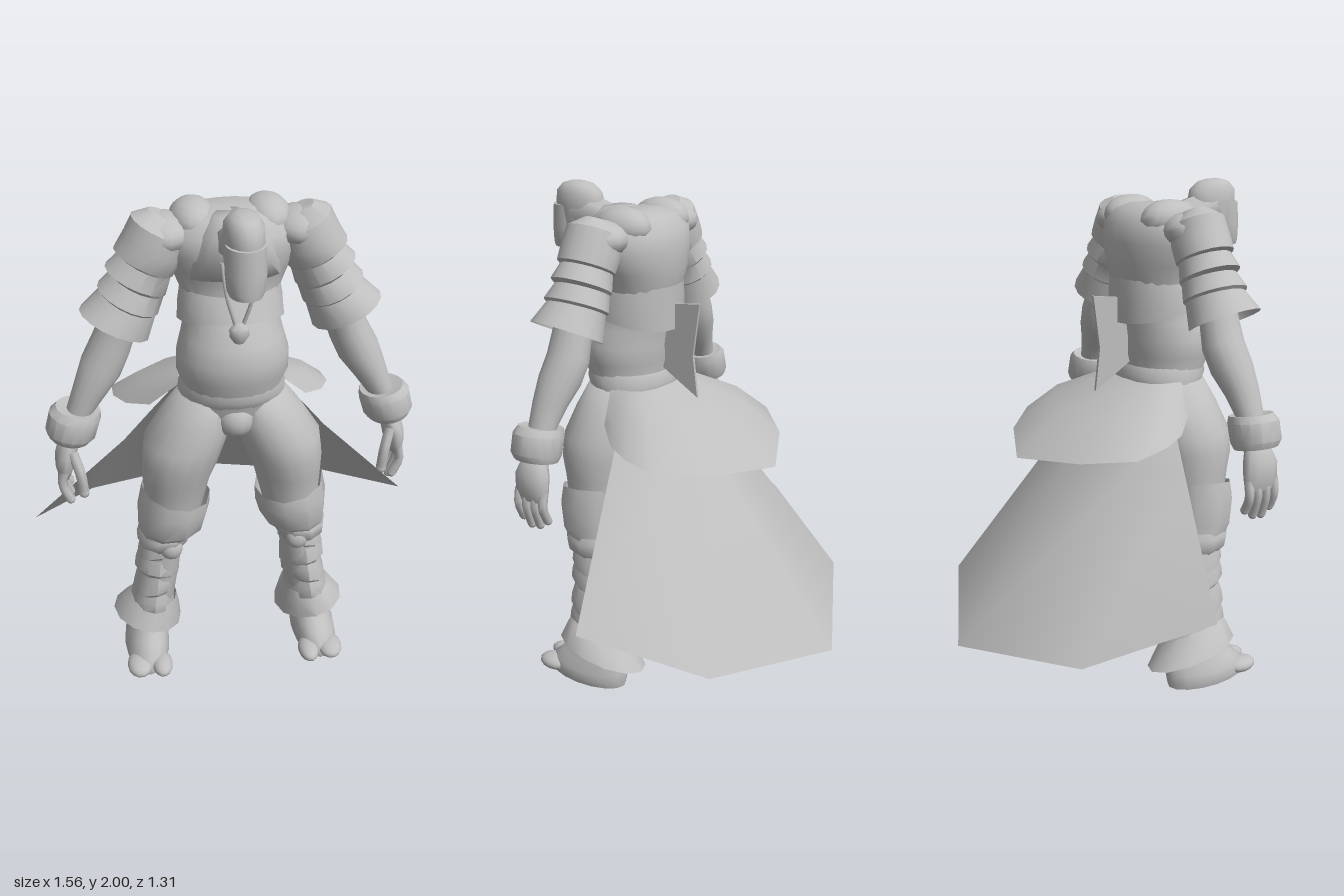
import * as THREE from 'three';
import { toCreasedNormals } from 'three/addons/utils/BufferGeometryUtils.js';

const grey = new THREE.MeshStandardMaterial({ color: 0xbfbfbf, side: THREE.DoubleSide });
grey.name = 'plain grey';

function add(parent, name, geometry) {
  const mesh = new THREE.Mesh(geometry, grey);
  mesh.name = name;
  parent.add(mesh);
  return mesh;
}

function build(points, index, crease) {
  const g = new THREE.BufferGeometry();
  g.setAttribute('position', new THREE.Float32BufferAttribute(points, 3));
  g.setIndex(index);
  return toCreasedNormals(g, crease);
}

// Stack of elliptical rings, listed top to bottom.
// Ring: [centre x, y, back z, front z, half width, sideways tilt, forward slope]
function loft(rings, { n = 16, top = true, bottom = true, crease = 0.9 } = {}) {
  const p = [], idx = [];
  for (const [x, y, zb, zf, rx, tilt = 0, slope = 0] of rings) {
    const zc = (zb + zf) / 2, rz = (zf - zb) / 2;
    for (let i = 0; i < n; i++) {
      const a = (i / n) * Math.PI * 2, u = Math.cos(a) * rx, w = Math.sin(a) * rz;
      p.push(x + u * Math.cos(tilt), y + u * Math.sin(tilt) + w * slope, zc + w);
    }
  }
  for (let j = 0; j < rings.length - 1; j++) {
    for (let i = 0; i < n; i++) {
      const k = (i + 1) % n, a = j * n + i, b = j * n + k;
      idx.push(a, b, a + n, b, b + n, a + n);
    }
  }
  const cap = (j, up) => {
    const [x, y, zb, zf] = rings[j], c = p.length / 3;
    p.push(x, y, (zb + zf) / 2);
    for (let i = 0; i < n; i++) {
      const a = j * n + i, b = j * n + ((i + 1) % n);
      if (up) idx.push(c, b, a); else idx.push(c, a, b);
    }
  };
  if (top) cap(0, true);
  if (bottom) cap(rings.length - 1, false);
  return build(p, idx, crease);
}

// Open cloth through rows given from the +x edge to the middle, then mirrored
function cloth(rows) {
  const full = rows.map(r => [...r, ...r.slice(0, -1).reverse().map(([x, y, z]) => [-x, y, z])]);
  const w = full[0].length, idx = [];
  for (let j = 0; j < full.length - 1; j++) {
    for (let i = 0; i < w - 1; i++) {
      const a = j * w + i;
      idx.push(a, a + w, a + 1, a + 1, a + w, a + w + 1);
    }
  }
  return build(full.flat(2), idx, 0.8);
}

function tube(points, r, seg = 8) {
  const curve = new THREE.CatmullRomCurve3(points.map(p => new THREE.Vector3(...p)));
  return new THREE.TubeGeometry(curve, seg, r, 7);
}

function ball(parent, name, [x, y, z], [rx, ry, rz]) {
  const m = add(parent, name, new THREE.SphereGeometry(1, 14, 10));
  m.position.set(x, y, z);
  m.scale.set(rx, ry, rz);
}

function buildBody(g) {
  add(g, 'torso', loft([
    [0, 1.92, 0.17, 0.30, 0.11], [0, 1.9, 0.12, 0.36, 0.19], [0, 1.85, 0.08, 0.41, 0.24],
    [0, 1.78, 0.07, 0.42, 0.245], [0, 1.7, 0.07, 0.40, 0.21], [0, 1.61, 0.09, 0.39, 0.175],
    [0, 1.55, 0.11, 0.42, 0.165], [0, 1.47, 0.12, 0.475, 0.185], [0, 1.4, 0.13, 0.49, 0.205],
    [0, 1.33, 0.13, 0.485, 0.205], [0, 1.26, 0.15, 0.455, 0.18], [0, 1.2, 0.14, 0.44, 0.19],
    [0, 1.13, 0.16, 0.42, 0.16], [0, 1.08, 0.2, 0.40, 0.08],
  ], { n: 24, crease: 1.2 }));
  ball(g, 'crotch', [0, 1.15, 0.38], [0.075, 0.08, 0.08]);
  // Loose shirt hem over the waist
  add(g, 'shirtHem', loft([
    [0, 1.64, 0.08, 0.40, 0.18], [0, 1.58, 0.08, 0.42, 0.19, 0, 0.1], [0, 1.51, 0.08, 0.44, 0.195, 0, 0.25],
  ], { n: 20, top: false, bottom: false }));
  add(g, 'waistBand', loft([
    [0, 1.29, 0.13, 0.46, 0.185], [0, 1.25, 0.11, 0.465, 0.2], [0, 1.21, 0.12, 0.44, 0.2],
  ], { n: 20, top: false, bottom: false }));
  // Upright cloth tab behind the waist
  const tab = new THREE.Shape([[0.12, 1.56], [-0.03, 1.58], [0, 1.37], [-0.02, 1.2], [0.14, 1.3]]
    .map(([z, y]) => new THREE.Vector2(-z, y)));
  add(g, 'backTab', new THREE.ExtrudeGeometry(tab, { depth: 0.012, bevelEnabled: false })
    .rotateY(Math.PI / 2).translate(-0.006, 0, 0));
}

function buildHead(g) {
  add(g, 'neck', tube([[0, 1.79, 0.27], [0, 1.85, 0.4], [0, 1.89, 0.53]], 0.075));
  add(g, 'neckBase', loft([
    [0, 1.92, 0.27, 0.40, 0.07], [0, 1.86, 0.24, 0.46, 0.12], [0, 1.77, 0.22, 0.45, 0.16], [0, 1.7, 0.25, 0.40, 0.17],
  ], { crease: 1.4 }));
  add(g, 'head', loft([
    [0, 2, 0.5, 0.57, 0.022], [0, 1.99, 0.465, 0.605, 0.048], [0, 1.96, 0.43, 0.633, 0.066],
    [0, 1.91, 0.42, 0.637, 0.07], [0, 1.84, 0.44, 0.63, 0.066], [0, 1.77, 0.5, 0.62, 0.055],
  ], { crease: 1.2 }));
  add(g, 'beard', loft([
    [0, 1.91, 0.5, 0.648, 0.067], [0, 1.82, 0.515, 0.652, 0.07], [0, 1.76, 0.525, 0.652, 0.064], [0, 1.74, 0.53, 0.65, 0.055],
  ]));
  // Necklace with a hanging bead
  for (const s of [1, -1]) {
    add(g, 'necklaceCord', tube([[s * 0.06, 1.8, 0.46], [s * 0.045, 1.68, 0.475], [s * 0.012, 1.56, 0.46]], 0.007));
  }
  add(g, 'pendant', loft([
    [0, 1.575, 0.455, 0.475, 0.012], [0, 1.555, 0.44, 0.49, 0.036], [0, 1.525, 0.442, 0.49, 0.034], [0, 1.5, 0.452, 0.478, 0.018],
  ], { n: 8 }));
}

function buildArm(g) {
  ball(g, 'shoulderHump', [0.13, 1.87, 0.23], [0.085, 0.075, 0.12]);
  ball(g, 'shoulder', [0.24, 1.84, 0.265], [0.105, 0.07, 0.12]);
  // Sleeve with stepped folds and an open hem
  const T = 0.46;
  add(g, 'sleeve', loft([
    [0.235, 1.905, 0.22, 0.32, 0.055, T], [0.25, 1.865, 0.17, 0.38, 0.105, T], [0.275, 1.8, 0.16, 0.39, 0.112, T],
    [0.305, 1.745, 0.165, 0.385, 0.115, T], [0.3, 1.735, 0.175, 0.38, 0.1, T], [0.335, 1.68, 0.16, 0.395, 0.118, T],
    [0.33, 1.665, 0.17, 0.385, 0.103, T], [0.365, 1.61, 0.155, 0.41, 0.118, T], [0.365, 1.6, 0.165, 0.4, 0.108, T],
    [0.418, 1.52, 0.15, 0.43, 0.135, T, 0.08],
  ], { bottom: false, crease: 0.7 }));
  add(g, 'arm', loft([
    [0.36, 1.64, 0.2, 0.36, 0.07, T], [0.4, 1.52, 0.2, 0.355, 0.07, T], [0.435, 1.43, 0.19, 0.36, 0.075, T],
    [0.475, 1.35, 0.205, 0.37, 0.078, T], [0.52, 1.27, 0.235, 0.37, 0.062, T], [0.562, 1.19, 0.255, 0.365, 0.048, T],
    [0.6, 1.08, 0.265, 0.365, 0.04, 0.2],
  ], { crease: 1.3 }));
  add(g, 'bracelet', loft([
    [0.568, 1.19, 0.25, 0.37, 0.05, 0.2], [0.568, 1.195, 0.225, 0.395, 0.082, 0.2], [0.58, 1.17, 0.215, 0.41, 0.096, 0.2],
    [0.6, 1.1, 0.215, 0.41, 0.094, 0.2], [0.606, 1.075, 0.225, 0.395, 0.078, 0.2], [0.606, 1.08, 0.26, 0.365, 0.045, 0.2],
  ], { crease: 0.6 }));
  // Hand with curled fingers
  add(g, 'palm', loft([
    [0.6, 1.09, 0.27, 0.365, 0.036], [0.622, 1.02, 0.245, 0.395, 0.042], [0.632, 0.96, 0.24, 0.39, 0.036], [0.635, 0.92, 0.25, 0.38, 0.022],
  ], { n: 12, crease: 1.3 }));
  [[0.258, 0.84], [0.296, 0.815], [0.336, 0.81], [0.374, 0.835]].forEach(([z, tip]) => {
    add(g, 'finger', tube([[0.635, 0.96, z], [0.645, 0.9, z], [0.62, tip, z]], 0.018, 5));
    ball(g, 'fingertip', [0.62, tip, z], [0.017, 0.017, 0.017]);
  });
  add(g, 'thumb', tube([[0.6, 1.04, 0.37], [0.575, 0.96, 0.4], [0.568, 0.88, 0.4]], 0.02, 5));
  ball(g, 'thumbTip', [0.568, 0.88, 0.4], [0.02, 0.022, 0.02]);
}

function buildLeg(g) {
  add(g, 'thigh', loft([
    [0.1, 1.23, 0.18, 0.42, 0.1], [0.13, 1.14, 0.15, 0.455, 0.14], [0.18, 1.04, 0.15, 0.478, 0.155],
    [0.2, 0.96, 0.17, 0.478, 0.145], [0.215, 0.88, 0.18, 0.455, 0.13], [0.225, 0.78, 0.2, 0.44, 0.115], [0.245, 0.64, 0.2, 0.42, 0.1],
  ], { crease: 1.3 }));
  // Folded trouser cuff at the knee
  add(g, 'kneeCuff', loft([
    [0.22, 0.82, 0.185, 0.475, 0.135, 0.2, -0.1], [0.23, 0.75, 0.185, 0.48, 0.14, 0.1], [0.24, 0.67, 0.19, 0.465, 0.13, 0, -0.1],
    [0.262, 0.61, 0.2, 0.42, 0.105],
  ], { n: 10, top: false, bottom: false, crease: 0.7 }));
  add(g, 'kneeStrap', loft([
    [0.26, 0.66, 0.19, 0.42, 0.1, -0.1], [0.265, 0.625, 0.18, 0.44, 0.112, -0.1], [0.27, 0.58, 0.18, 0.43, 0.105, -0.1], [0.27, 0.54, 0.2, 0.39, 0.08],
  ], { n: 10 }));
  ball(g, 'kneeKnot', [0.25, 0.58, 0.4], [0.045, 0.05, 0.035]);
  add(g, 'shin', loft([
    [0.265, 0.64, 0.2, 0.39, 0.08], [0.285, 0.45, 0.19, 0.39, 0.078], [0.31, 0.25, 0.17, 0.37, 0.075], [0.34, 0.1, 0.14, 0.35, 0.07],
  ]));
  // Overlapping shin wraps, lower at the back
  for (let i = 0; i < 4; i++) {
    const y = 0.6 - i * 0.095, x = 0.275 + i * 0.012, b = 0.17 - i * 0.015, tilt = i % 2 ? 0.2 : -0.2;
    add(g, 'shinWrap', loft([
      [x, y, b + 0.015, 0.385, 0.077, tilt, 0.1], [x + 0.008, y - 0.065, b - 0.008, 0.395, 0.09, tilt, 0.3],
      [x + 0.012, y - 0.115, b - 0.02, 0.4, 0.092, tilt, 0.35], [x + 0.012, y - 0.125, b + 0.02, 0.375, 0.072, tilt, 0.2],
    ], { n: 12, top: false, bottom: false, crease: 0.7 }));
  }
  add(g, 'ankleCuff', loft([
    [0.308, 0.26, 0.15, 0.385, 0.085, 0.1, 0.1], [0.325, 0.21, 0.11, 0.4, 0.115, 0.2, 0.2], [0.343, 0.13, 0.04, 0.425, 0.143, 0.23, 0.22],
  ], { n: 12, top: false, bottom: false, crease: 0.7 }));
  // Bare foot with a split toe
  add(g, 'foot', loft([
    [0.335, 0.2, 0.14, 0.33, 0.065], [0.34, 0.14, 0.125, 0.375, 0.072], [0.345, 0.1, 0.115, 0.43, 0.08],
    [0.352, 0.06, 0.11, 0.475, 0.09], [0.355, 0.025, 0.115, 0.49, 0.092], [0.355, 0, 0.12, 0.485, 0.085],
  ], { crease: 1.1 }));
  ball(g, 'bigToe', [0.305, 0.033, 0.46], [0.042, 0.033, 0.07]);
  ball(g, 'outerToes', [0.395, 0.033, 0.45], [0.052, 0.033, 0.072]);
}

function buildSkirts(g) {
  add(g, 'longBackSkirt', cloth([
    [[0.21, 1.18, 0.19], [0.14, 1.18, 0.12], [0, 1.18, 0.07]],
    [[0.4, 0.93, 0.14], [0.28, 0.95, -0.03], [0, 0.97, -0.1]],
    [[0.78, 0.5, 0.02], [0.535, 0.325, -0.405], [0, 0.245, -0.655]],
  ]));
  const waist = [[0.18, 1.25, 0.27], [0.19, 1.24, 0.22], [0.18, 1.24, 0.18], [0.16, 1.24, 0.14], [0.1, 1.24, 0.11], [0, 1.24, 0.1]];
  const hem = [[0.3, 1.13, 0.22], [0.385, 1.09, 0.13], [0.43, 1.07, 0.03], [0.43, 1.04, -0.1], [0.27, 1.01, -0.25], [0, 0.98, -0.375]];
  const middle = waist.map((p, i) => p.map((v, k) => v + (hem[i][k] - v) * 0.62 + (k === 1 ? 0.011 * i : 0)));
  add(g, 'shortBackSkirt', cloth([waist, middle, hem]));
}

export function createModel() {
  const model = new THREE.Group();
  model.name = 'figure';
  buildBody(model);
  buildHead(model);
  buildSkirts(model);
  for (const [side, s] of [['left', 1], ['right', -1]]) {
    for (const [limb, make] of [['Arm', buildArm], ['Leg', buildLeg]]) {
      const g = new THREE.Group();
      g.name = side + limb;
      make(g);
      g.scale.x = s;
      model.add(g);
    }
  }
  return model;
}
